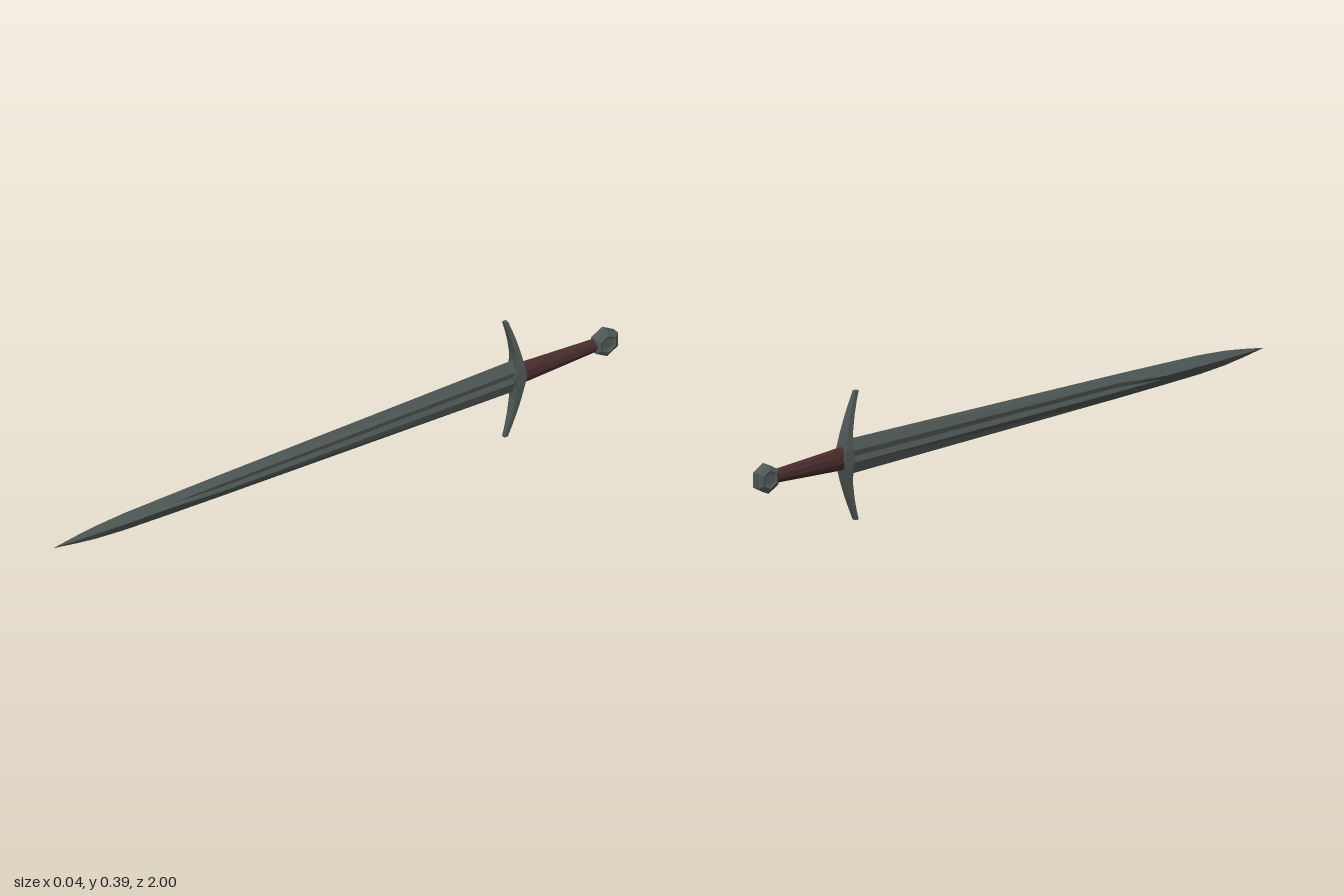
import * as THREE from 'three';

const CY = 0.195; // height of the sword's long axis

// Skin a list of equal-length rings (counter-clockwise seen from the far end), capped
function loft(rings) {
  const pos = [];
  const tri = (a, b, c) => pos.push(...a, ...b, ...c);
  const n = rings[0].length;
  for (let k = 0; k < rings.length - 1; k++) {
    const a = rings[k], b = rings[k + 1];
    for (let i = 0; i < n; i++) {
      const j = (i + 1) % n;
      tri(a[i], a[j], b[j]);
      tri(a[i], b[j], b[i]);
    }
  }
  const centre = (r) => [0, 1, 2].map((d) => r.reduce((s, p) => s + p[d], 0) / n);
  const first = rings[0], last = rings[rings.length - 1];
  const c0 = centre(first), c1 = centre(last);
  for (let i = 0; i < n; i++) {
    const j = (i + 1) % n;
    tri(c0, first[j], first[i]);
    tri(c1, last[i], last[j]);
  }
  const g = new THREE.BufferGeometry();
  g.setAttribute('position', new THREE.Float32BufferAttribute(pos, 3));
  g.computeVertexNormals();
  return g;
}

export function createModel() {
  const steel = new THREE.MeshStandardMaterial({ color: 0x4f5a57, flatShading: true });
  steel.name = 'darkSteel';
  const leather = new THREE.MeshStandardMaterial({ color: 0x4a2c2c, flatShading: true });
  leather.name = 'brownLeather';

  const sword = new THREE.Group();
  sword.name = 'sword';
  const add = (name, geometry, material) => {
    const mesh = new THREE.Mesh(geometry, material);
    mesh.name = name;
    sword.add(mesh);
    return mesh;
  };

  // Blade: z, half height, fuller half height, ridge thickness, centre thickness
  const bladeStations = [
    [-0.645, 0.054, 0.018, 0.013, 0.008],
    [0.42, 0.037, 0.013, 0.013, 0.009],
    [0.6, 0.033, 0.010, 0.0125, 0.018],
    [0.75, 0.029, 0.009, 0.0105, 0.015],
    [0.85, 0.022, 0.007, 0.007, 0.010],
    [0.92, 0.013, 0.004, 0.0042, 0.006],
    [1.0, 0.0005, 0.0002, 0.0002, 0.0003],
  ];
  add('blade', loft(bladeStations.map(([z, h, s, r, c]) => [
    [c, 0], [r, s], [0, h], [-r, s], [-c, 0], [-r, -s], [0, -h], [r, -s],
  ].map(([x, y]) => [x, CY + y, z]))), steel);

  // Crossguard: distance from axis, half width, blade-side z, grip-side z
  const arm = [
    [0, 0.022, -0.628, -0.670],
    [0.028, 0.022, -0.634, -0.662],
    [0.075, 0.017, -0.632, -0.652],
    [0.125, 0.012, -0.621, -0.638],
    [0.165, 0.008, -0.609, -0.624],
    [0.195, 0.006, -0.599, -0.612],
  ];
  const guardStations = [
    ...arm.slice(1).reverse().map(([d, ...rest]) => [-d, ...rest]),
    ...arm,
  ];
  add('crossguard', loft(guardStations.map(([y, w, front, back]) => [
    [w, front], [w, back], [-w, back], [-w, front],
  ].map(([x, z]) => [x, CY + y, z]))), steel);

  // Grip: tapered, flattened handle
  const gripGeometry = new THREE.CylinderGeometry(0.036, 0.021, 0.27, 10);
  gripGeometry.rotateX(Math.PI / 2);
  gripGeometry.scale(0.52, 1, 1);
  // Keep the narrow side from thinning too much toward the pommel
  const p = gripGeometry.attributes.position;
  for (let i = 0; i < p.count; i++) if (p.getZ(i) < 0) p.setX(i, p.getX(i) * 1.4);
  gripGeometry.computeVertexNormals();
  add('grip', gripGeometry, leather).position.set(0, CY, -0.795);

  // Pommel: bevelled hexagon with a shallow dish on each face
  const pommelStations = [
    [-0.017, 0.020], [-0.021, 0.028], [-0.012, 0.044],
    [0.012, 0.044], [0.021, 0.028], [0.017, 0.020],
  ];
  const hexagon = [0, 1, 2, 3, 4, 5].map((i) => (i * Math.PI) / 3);
  add('pommel', loft(pommelStations.map(([x, r]) => hexagon.map((a) => [
    x, CY + r * Math.cos(a), -0.96 + r * 1.05 * Math.sin(a),
  ]))), steel);

  return sword;
}
